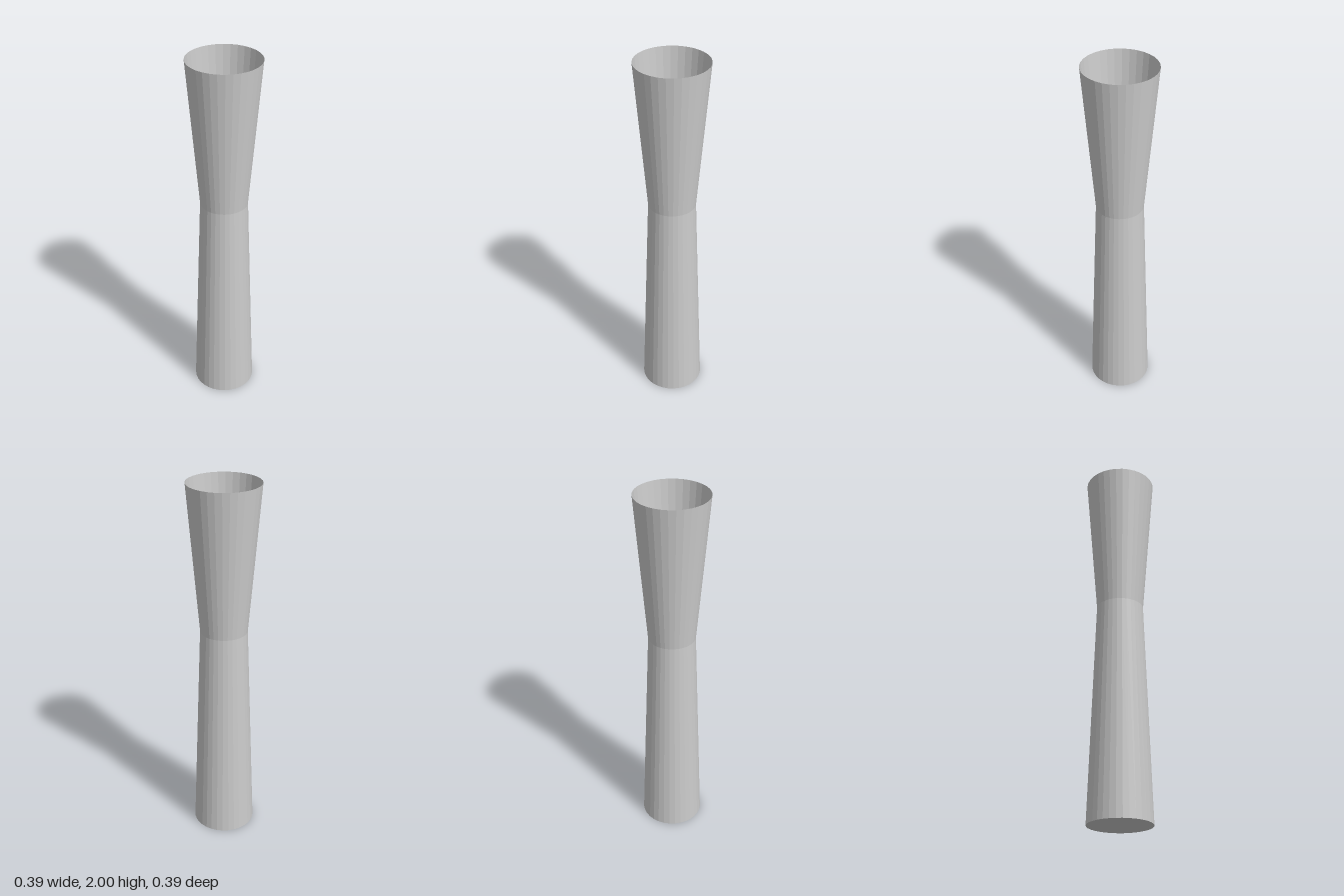
import * as THREE from 'three';

export function createModel() {
  const group = new THREE.Group();
  group.name = 'vase';

  const material = new THREE.MeshStandardMaterial({
    color: 0xcccccc,
    flatShading: true,
    side: THREE.DoubleSide,
  });
  const sides = 32;

  // Thin open wall: tapers up to a narrow waist, then flares to the rim
  const profile = [[0.17, 0], [0.127, 1.2], [0.193, 2]].map(([r, y]) => new THREE.Vector2(r, y));
  const wall = new THREE.Mesh(new THREE.LatheGeometry(profile, sides), material);
  wall.name = 'wall';
  group.add(wall);

  // Flat disc closing the bottom
  const base = new THREE.Mesh(new THREE.CircleGeometry(0.17, sides).rotateX(Math.PI / 2), material);
  base.name = 'base';
  group.add(base);

  return group;
}
